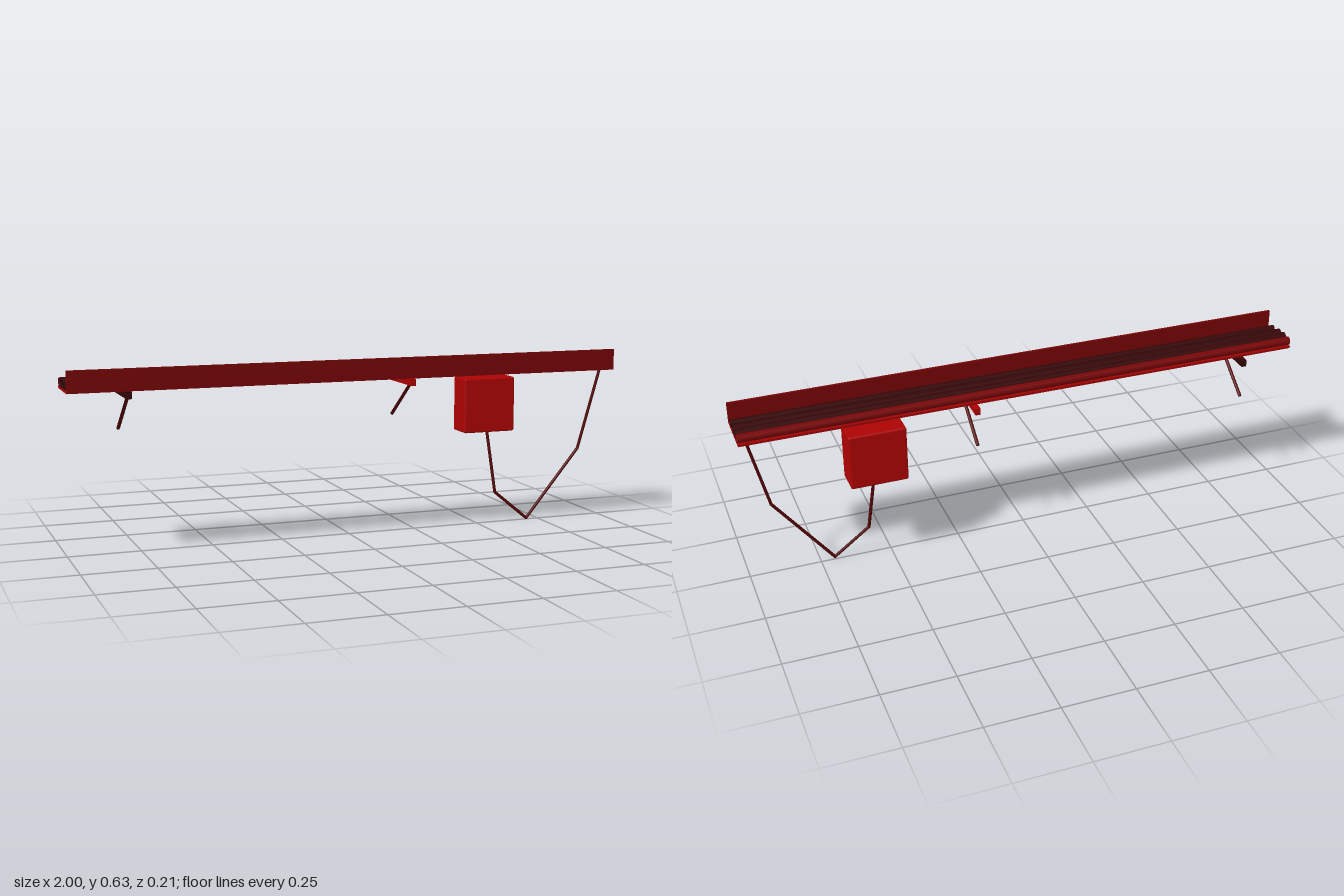
import * as THREE from 'three';
import { RoundedBoxGeometry } from 'three/addons/geometries/RoundedBoxGeometry.js';

const mat = (name, color, side = THREE.FrontSide) => {
  const m = new THREE.MeshStandardMaterial({ color, side });
  m.name = name;
  return m;
};

export function createModel() {
  const group = new THREE.Group();
  const bright = mat('brightRed', 0xae0303);
  const floorRed = mat('floorRed', 0xa20304);
  const lipRed = mat('lipRed', 0x780406, THREE.DoubleSide);
  const dark = mat('darkMaroon', 0x350506, THREE.DoubleSide);
  const cord = mat('cordMaroon', 0x520506, THREE.DoubleSide);

  const add = (name, geometry, material, x = 0, y = 0, z = 0) => {
    const mesh = new THREE.Mesh(geometry, material);
    mesh.name = name;
    mesh.position.set(x, y, z);
    group.add(mesh);
    return mesh;
  };

  // Straight rod between two points
  const rod = (name, a, b, r, material, open = false) => {
    const p = new THREE.Vector3(...a), q = new THREE.Vector3(...b);
    const d = q.clone().sub(p);
    const mesh = add(name, new THREE.CylinderGeometry(r, r, d.length(), 10, 1, open), material);
    mesh.position.copy(p).add(q).multiplyScalar(0.5);
    mesh.quaternion.setFromUnitVectors(new THREE.Vector3(0, 1, 0), d.normalize());
  };

  // Tray: flat floor with an upright front lip
  add('trayFloor', new THREE.BoxGeometry(2, 0.008, 0.165), floorRed, 0, 0.562, 0.0085);
  add('trayLip', new THREE.BoxGeometry(2, 0.075, 0.009), lipRed, 0, 0.5965, 0.091);

  // Open-ended cables lying along the tray: [z, radius, material]
  [
    [-0.059, 0.015, lipRed],
    [-0.027, 0.017, dark],
    [0.006, 0.016, dark],
    [0.052, 0.013, dark],
  ].forEach(([z, r, m], i) =>
    rod(`trayCable${i + 1}`, [-1, 0.566 + r, z], [1, 0.566 + r, z], r, m, true));

  // Wall brackets: crossbar and slanted strut
  [[-0.8, dark], [0.2, bright]].forEach(([x, m], i) => {
    add(`bracketBar${i + 1}`, new THREE.BoxGeometry(0.018, 0.024, 0.21), m, x, 0.546, 0);
    rod(`bracketStrut${i + 1}`, [x, 0.545, 0.085], [x, 0.41, -0.095], 0.006, cord);
  });

  // Junction box hung below the rear of the tray
  add('junctionBox', new RoundedBoxGeometry(0.2, 0.2, 0.1, 1, 0.007), bright, 0.549, 0.435, -0.055);

  // Drooping cord from the tray end to the box
  const path = [
    [0.974, 0.569, 0.045], [0.9, 0.26, 0.021], [0.7, 0.0057, 0.006],
    [0.575, 0.11, -0.006], [0.549, 0.345, -0.031],
  ];
  path.slice(1).forEach((p, i) => rod(`cordSegment${i + 1}`, path[i], p, 0.0055, cord));
  path.slice(1, -1).forEach((p, i) =>
    add(`cordBend${i + 1}`, new THREE.SphereGeometry(0.0057, 8, 6), cord, ...p));

  return group;
}
